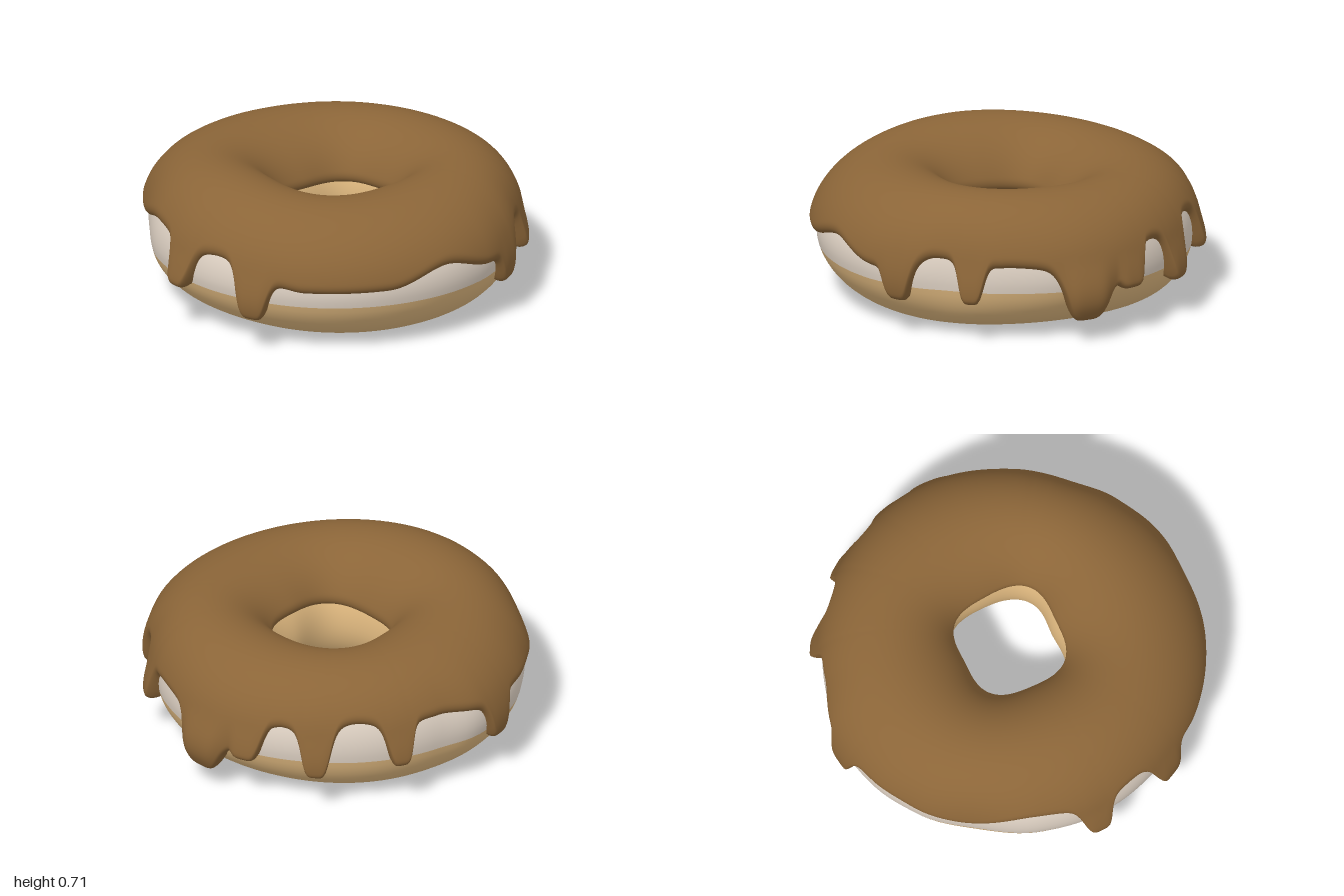
import * as THREE from 'three';

const TAU = Math.PI * 2;
const MID_Y = 0.32, HALF_Y = 0.32, OUTER = 0.908;
const { smoothstep, lerp } = THREE.MathUtils;

// Icing rim height between drips: [degrees from front towards +x, y]
const RIM = [[0, .40], [18, .33], [28, .36], [40, .41], [52, .42], [62, .385], [75, .38], [88, .36],
  [94, .27], [102, .27], [111, .43], [125, .44], [137, .46], [151, .44], [165, .43], [180, .40],
  [205, .38], [230, .36], [253, .44], [275, .42], [288, .43], [300, .38], [315, .33], [340, .33], [360, .40]];

// Uneven outline of the dough: [degrees, radius]
const OUTLINE = [[0, .932], [15, .93], [30, .915], [45, .888], [62, .90], [88, .917], [130, .897], [165, .90],
  [180, .932], [200, .928], [215, .915], [235, .888], [255, .91], [272, .922], [285, .925], [320, .935], [360, .932]];

// Drips: [degrees, tip height, half width in degrees, bulge]
const DRIPS = [[28, .18, 4.7, .02], [52, .20, 4.2, .04], [87.5, .12, 7.2, .062], [103, .23, 4.7, .045],
  [125, .19, 4.7, .045], [151, .23, 4.2, .04], [187, .20, 4.4, .015], [272, .23, 4.7, .058], [299, .17, 5, .045]];

// Smoothly interpolated value of an angle table
function lookUp(table, deg) {
  const k = Math.max(1, table.findIndex(p => p[0] >= deg));
  const [d0, v0] = table[k - 1], [d1, v1] = table[k];
  return lerp(v0, v1, smoothstep(deg, d0, d1));
}

// Hump centred on an angle, 0 to 1
const hump = (theta, deg, power) =>
  Math.pow(0.5 + 0.5 * Math.cos(theta - deg * Math.PI / 180), power);

// Lower rim of the icing and how much it bulges there
function rimAt(theta) {
  const deg = theta / TAU * 360;
  const base = lookUp(RIM, deg);
  let y = base, bulge = 0;
  for (const [d, tip, w, b] of DRIPS) {
    const amount = 1 / (1 + Math.pow(Math.abs(deg - d) / w, 5));
    y = Math.min(y, lerp(base, tip, amount));
    bulge = Math.max(bulge, b * amount);
  }
  return { y, bulge };
}

// Point on the ring; a runs round the section from the outer side upwards
function ringPoint(theta, a, offset = 0) {
  const s = Math.sin(theta), c = Math.cos(theta);
  const squareness = Math.pow(Math.abs(s) ** 3 + Math.abs(c) ** 3, -1 / 3);
  const inner = 0.272 * squareness - 0.042 * hump(theta, 0, 6) - 0.025 * hump(theta, 180, 4);
  const half = (OUTER - inner) / 2;
  const n = new THREE.Vector2(Math.cos(a) / half, Math.sin(a) / HALF_Y).normalize();
  const belly = (lookUp(OUTLINE, theta / TAU * 360) - OUTER) * Math.max(0, Math.cos(a)) ** 3;
  const r = (OUTER + inner) / 2 + half * Math.cos(a) + belly + n.x * offset;
  const up = Math.sin(a);
  let y = MID_Y + HALF_Y * up + n.y * offset;
  y += up > 0 ? up * (0.035 * hump(theta, 270, 8) + 0.006 * Math.sin(2 * theta)) : -up * 0.03 * s * s;
  const shift = 0.015 * (0.5 - 0.5 * Math.cos(a));
  return [r * s + shift, y, r * c + shift];
}

// Surface closed round the ring, rows running along the section
function sweep(columns, rows, point) {
  const positions = [], index = [];
  for (let j = 0; j <= rows; j++)
    for (let i = 0; i < columns; i++) positions.push(...point(i / columns * TAU, j / rows));
  for (let j = 0; j < rows; j++)
    for (let i = 0; i < columns; i++) {
      const n = (i + 1) % columns;
      const p = j * columns + i, q = j * columns + n;
      index.push(p, q, q + columns, p, q + columns, p + columns);
    }
  const geometry = new THREE.BufferGeometry();
  geometry.setAttribute('position', new THREE.Float32BufferAttribute(positions, 3));
  geometry.setIndex(index);
  geometry.computeVertexNormals();
  return geometry;
}

function material(name, color, side = THREE.FrontSide) {
  const m = new THREE.MeshStandardMaterial({ color, side });
  m.name = name;
  return m;
}

export function createModel() {
  const group = new THREE.Group();
  group.name = 'donut';
  const dough = material('baked dough', 0xdfb87f);
  const pale = material('pale dough', 0xe0d3c5);
  const chocolate = material('chocolate icing', 0x8b6538, THREE.DoubleSide);

  // Dough ring: pale band and top first, then the baked underside and hole
  const columns = 128, rows = 64, paleRows = 20;
  const body = sweep(columns, rows, (theta, t) => ringPoint(theta, t * TAU - 0.23));
  const split = columns * paleRows * 6;
  body.addGroup(0, split, 0);
  body.addGroup(split, columns * rows * 6 - split, 1);
  const ring = new THREE.Mesh(body, [pale, dough]);
  ring.name = 'doughRing';
  group.add(ring);

  // Icing: a rounded-edge layer over the top with drips down the outside
  const icing = sweep(540, 56, (theta, t) => {
    const rim = rimAt(theta);
    const innerY = 0.405 + 0.055 * hump(theta, 5, 3);
    const a0 = Math.asin((rim.y - MID_Y) / HALF_Y);
    const a1 = Math.PI - Math.asin((innerY - MID_Y) / HALF_Y);
    const a = lerp(a0, a1, t - 0.8 * Math.sin(t * TAU) / TAU);
    const edge = Math.min(1, 0.33 * Math.min(a - a0, a1 - a) / 0.05);
    const round = Math.sqrt(Math.max(0, 1 - (1 - edge) ** 2));
    const thickness = 0.038 + rim.bulge * (1 - smoothstep(a, -0.4, 0.3));
    return ringPoint(theta, a, -0.008 + (thickness + 0.008) * round);
  });
  const icingMesh = new THREE.Mesh(icing, chocolate);
  icingMesh.name = 'icing';
  group.add(icingMesh);

  return group;
}
